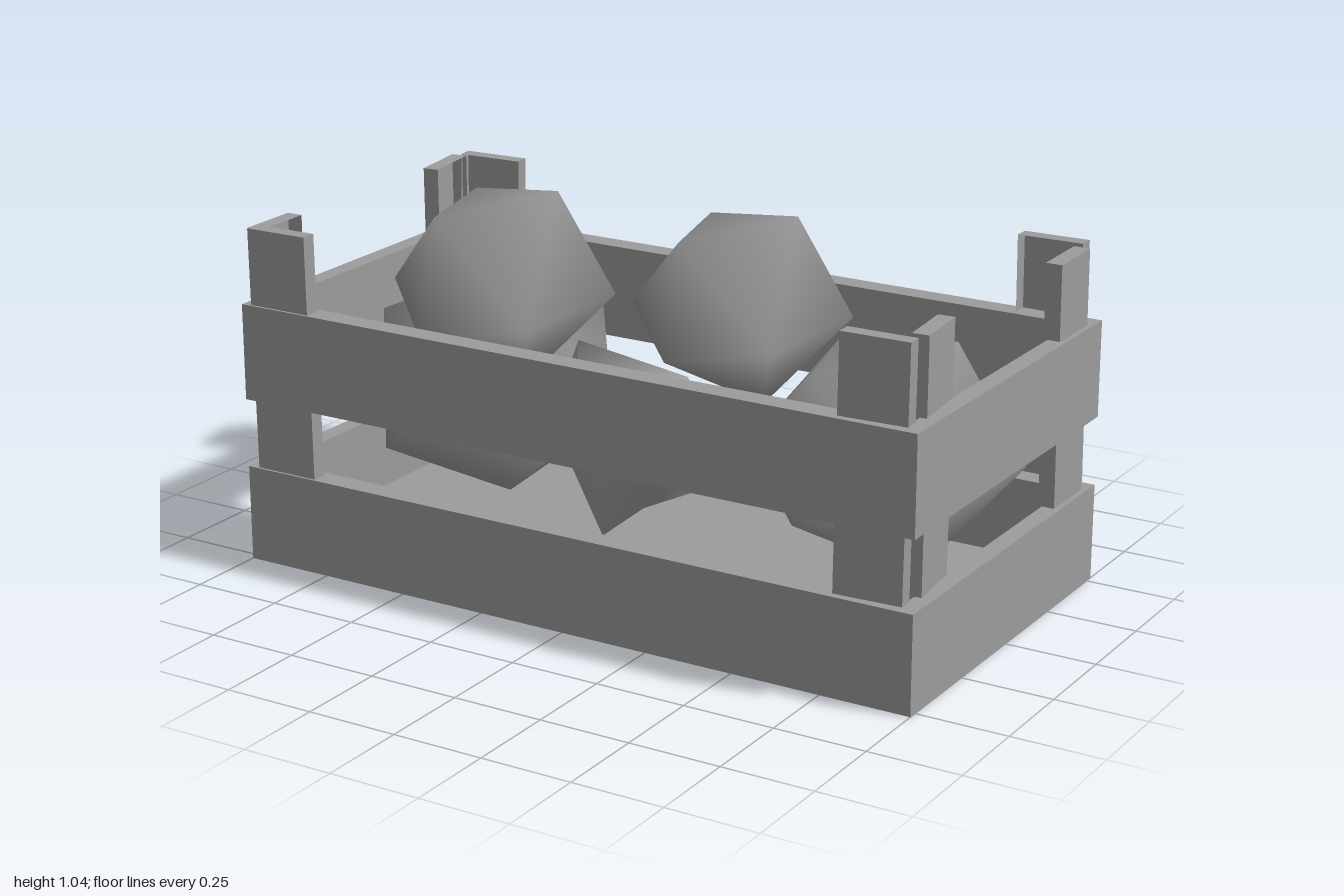
import * as THREE from 'three';

const grey = new THREE.MeshStandardMaterial({ color: 0x9c9c9c, side: THREE.DoubleSide });
const FACES = ['+x', '-x', '+y', '-y', '+z', '-z'];

// Box, optionally left open on one face
function box(name, size, position, parent, open) {
  const geometry = new THREE.BoxGeometry(...size);
  if (open) {
    const skip = FACES.indexOf(open);
    const index = Array.from(geometry.index.array);
    geometry.setIndex(index.filter((_, i) => Math.floor(i / 6) !== skip));
    geometry.clearGroups();
  }
  const mesh = new THREE.Mesh(geometry, grey);
  mesh.name = name;
  mesh.position.set(...position);
  parent.add(mesh);
  return mesh;
}

// Lumpy low-poly fruit with a dented back and smooth shading
function fruitGeometry() {
  const corners = [
    -0.3, -0.03, 0, -0.17, 0.19, -0.2, 0.15, 0.245, -0.11,
    -0.08, 0.195, 0.12, 0.3, -0.02, -0.15, 0.22, -0.06, 0.15,
    -0.07, -0.11, 0.21, -0.12, -0.2, -0.12, 0.13, -0.24, 0.03,
  ];
  const faces = [
    1, 3, 2, 0, 3, 1, 0, 1, 2, 0, 2, 7, 2, 4, 7, // top and back
    2, 3, 5, 2, 5, 4, 3, 0, 6, 3, 6, 5, // front
    0, 7, 8, 7, 4, 8, 4, 5, 8, 5, 6, 8, 6, 0, 8, // underside
  ];
  const geometry = new THREE.BufferGeometry();
  geometry.setAttribute('position', new THREE.Float32BufferAttribute(corners, 3));
  geometry.setIndex(faces);
  geometry.computeVertexNormals();
  return geometry;
}

export function createModel() {
  const model = new THREE.Group();
  model.name = 'fruitCrate';

  // Floor and two bands of side boards; the back boards are open shells
  box('floor', [1.96, 0.05, 0.92], [0, 0.025, 0], model);
  for (const [band, y] of [['lower', 0.1325], ['upper', 0.5875]]) {
    box(band + 'FrontBoard', [2, 0.265, 0.065], [0, y, 0.4925], model);
    box(band + 'BackBoard', [2, 0.265, 0.065], [0, y, -0.4925], model, '-z');
    for (const s of [-1, 1]) {
      box(band + 'EndBoard', [0.05, 0.265, 0.92], [s * 0.975, y, 0], model);
    }
  }

  // Corner posts, each a pair of crooked slats open on the inside: [x, z, turn, lean]
  const longSlats = [
    [-0.88, 0.497, 0, 0.01], [0.865, 0.48, 0.05, -0.01],
    [0.87, -0.501, -0.01, 0.012], [-0.865, -0.45, 0.1, -0.012],
  ];
  const endSlats = [
    [-0.968, 0.41, 0, 0.005], [0.938, 0.335, 0.1, -0.008],
    [0.962, -0.385, 0, 0.015], [-0.95, -0.345, 0.12, 0.01],
  ];
  for (const [x, z, turn, lean] of longSlats) {
    box('longSideSlat', [0.185, 0.88, 0.042], [x, 0.49, z], model, z > 0 ? '-z' : '+z')
      .rotation.set(0, turn, lean);
  }
  for (const [x, z, turn, lean] of endSlats) {
    box('endSlat', [0.045, 0.88, 0.17], [x, 0.485, z], model, x > 0 ? '-x' : '+x')
      .rotation.set(lean, turn, 0);
  }

  // Heap of fruit: [x, y, z, scale, turn, tilt]
  const geometry = fruitGeometry();
  const heap = [
    [-0.4, 0.8, 0.25, 1, 0, 0], [0.15, 0.745, -0.05, 0.98, 0, 0],
    [0.59, 0.43, -0.02, 1.2, 0, 0], [-0.61, 0.38, -0.1, 1.2, 0.77, 0.6],
    [0.02, 0.42, 0.2, 1, 2.4, 0],
  ];
  for (const [x, y, z, scale, turn, tilt] of heap) {
    const fruit = new THREE.Mesh(geometry, grey);
    fruit.name = 'fruit';
    fruit.position.set(x, y, z);
    fruit.scale.setScalar(scale);
    fruit.rotation.set(tilt, turn, 0);
    model.add(fruit);
  }
  return model;
}
